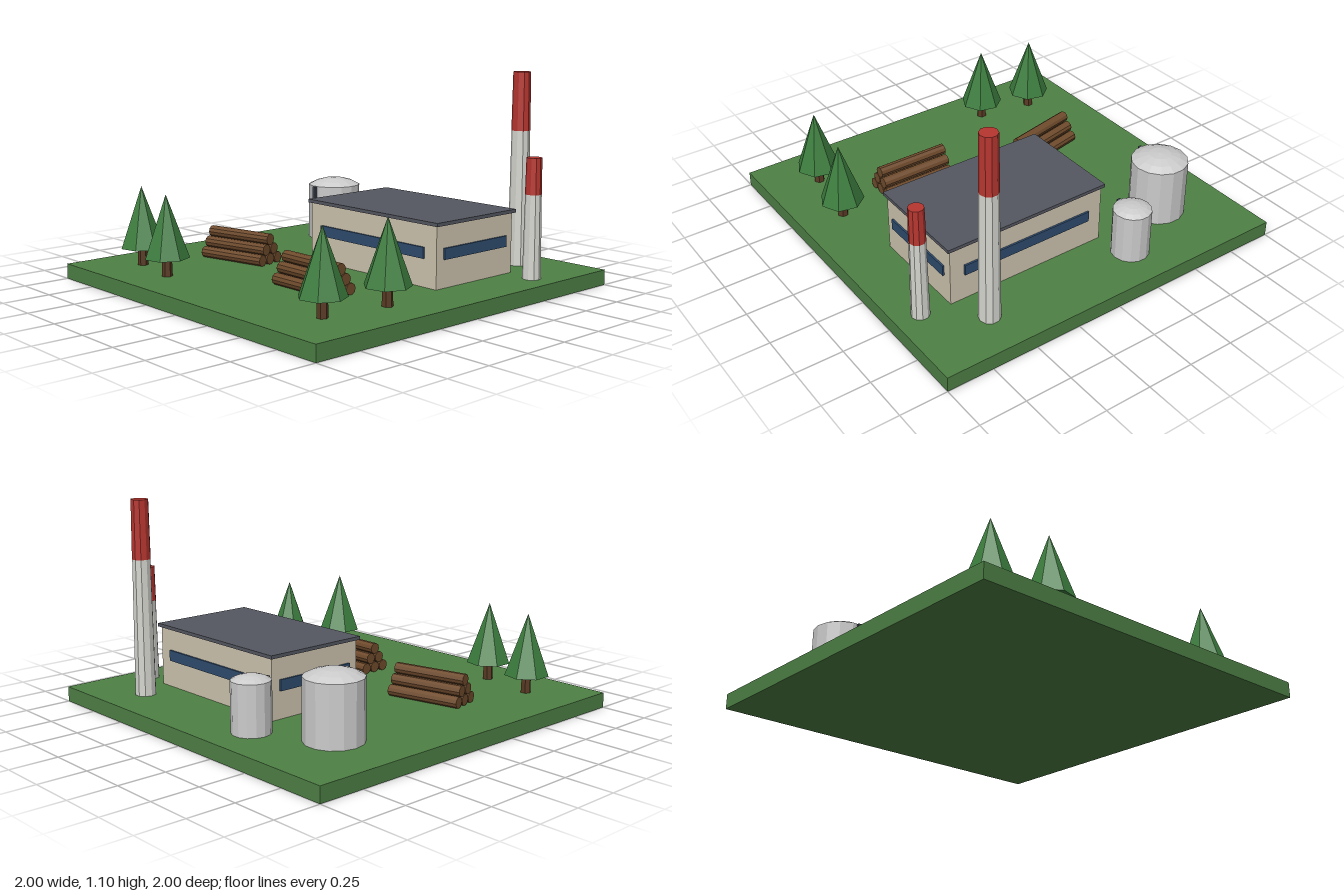
import * as THREE from 'three';

const mat = (color) => new THREE.MeshStandardMaterial({ color, flatShading: true });
const M = {
  grass: mat(0x4e8045), wall: mat(0xcfc5b0), roof: mat(0x555761), glass: mat(0x2f4c6e),
  concrete: mat(0xd6d6d0), red: mat(0xb83630), steel: mat(0xdcdcd8), dark: mat(0x3a3f4a),
  leaf: mat(0x3c7d3e), bark: mat(0x5a3b24), log: mat(0x6f4b2c),
};
const GROUND = 0.08;

function add(parent, name, geometry, material, x = 0, y = 0, z = 0) {
  const mesh = new THREE.Mesh(geometry, material);
  mesh.name = name;
  mesh.position.set(x, y, z);
  parent.add(mesh);
  return mesh;
}

function group(parent, name, x, y, z) {
  const g = new THREE.Group();
  g.name = name;
  g.position.set(x, y, z);
  parent.add(g);
  return g;
}

const box = (w, h, d) => new THREE.BoxGeometry(w, h, d);
// Cylinder with a corner facing +x
const prism = (rTop, rBottom, h, sides) =>
  new THREE.CylinderGeometry(rTop, rBottom, h, sides).rotateY(Math.PI / 2);

// Hall with an overhanging flat roof and a window band on every side
function addBuilding(parent) {
  const w = 0.91, d = 0.56, h = 0.314;
  const g = group(parent, 'building', 0.255, GROUND, -0.31);
  add(g, 'walls', box(w, h, d), M.wall, 0, h / 2, 0);
  add(g, 'roof', box(w + 0.03, 0.018, d + 0.025), M.roof, 0, h + 0.009, 0);
  for (const s of [-1, 1]) {
    add(g, 'longWindow', box(0.75, 0.057, 0.02), M.glass, 0, 0.172, s * d / 2);
    add(g, 'sideWindow', box(0.02, 0.057, 0.46), M.glass, s * w / 2, 0.172, 0);
  }
}

// Tapered stack whose top 30 percent is red
function addChimney(parent, x, z, r, h) {
  const g = group(parent, 'chimney', x, GROUND, z);
  add(g, 'stack', prism(r * 0.87, r, h * 0.7, 10), M.concrete, 0, h * 0.35, 0);
  add(g, 'redTop', prism(r * 0.83, r * 0.89, h * 0.3, 10), M.red, 0, h * 0.85, 0);
}

// Storage tank with a shallow domed lid and a ladder strip at the front
function addTank(parent, x, z, r, h) {
  const g = group(parent, 'tank', x, GROUND, z);
  add(g, 'tankBody', prism(r, r, h, 14), M.steel, 0, h / 2, 0);
  const profile = [[r, 0], [r * 0.72, 0.14], [r * 0.38, 0.235], [0, 0.265]]
    .map(([px, py]) => new THREE.Vector2(px, py * r));
  add(g, 'tankLid', new THREE.LatheGeometry(profile, 14).rotateY(Math.PI / 2), M.steel, 0, h, 0);
  add(g, 'ladder', box(0.02, h * 0.48, 0.02), M.dark, 0, h * 0.755, r);
}

function addTree(parent, x, z) {
  const g = group(parent, 'tree', x, GROUND, z);
  add(g, 'trunk', prism(0.025, 0.028, 0.1, 6), M.bark, 0, 0.05, 0);
  add(g, 'foliage', new THREE.ConeGeometry(0.117, 0.325, 7).rotateY(Math.PI / 2), M.leaf, 0, 0.2575, 0);
}

// Pyramid of six logs, three at the bottom
function addLogPile(parent, x, z, turn) {
  const g = group(parent, 'logPile', x, GROUND, z);
  g.rotation.y = turn;
  const r = 0.03, step = 0.063;
  for (let row = 0; row < 3; row++) {
    for (let i = 0; i < 3 - row; i++) {
      const log = new THREE.CylinderGeometry(r, r, 0.405, 10).rotateZ(Math.PI / 2);
      add(g, 'log', log, M.log, 0, r + row * 0.0525, (i - (2 - row) / 2) * step);
    }
  }
}

export function createModel() {
  const model = new THREE.Group();
  model.name = 'factoryYard';
  add(model, 'ground', box(2, GROUND, 2), M.grass, 0, GROUND / 2, 0);
  addBuilding(model);
  addChimney(model, 0.61, -0.77, 0.055, 1.02);
  addChimney(model, 0.865, -0.565, 0.047, 0.615);
  addTank(model, -0.615, -0.565, 0.149, 0.31);
  addTank(model, -0.26, -0.765, 0.099, 0.257);
  for (const [x, z] of [[-0.715, 0.71], [-0.41, 0.765], [0.715, 0.71], [0.765, 0.355]]) addTree(model, x, z);
  addLogPile(model, 0.303, 0.405, 0);
  addLogPile(model, -0.462, 0.25, 0.21);
  return model;
}
